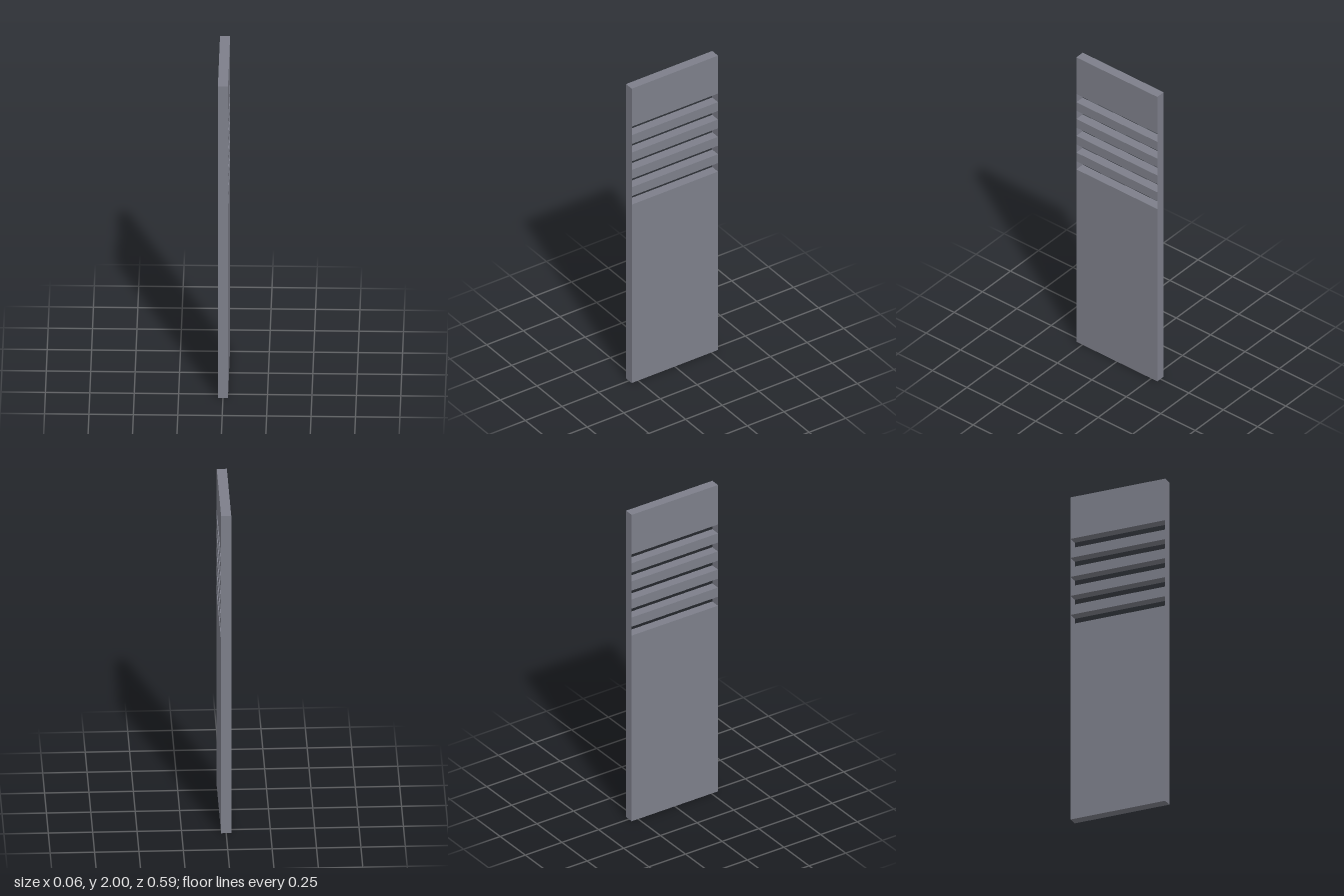
import * as THREE from 'three';

const THICK = 0.057, DEPTH = 0.588, HEIGHT = 2;
const SLOTS = 5, FIRST_SLOT = 1.212, PITCH = 0.118, SLOT = 0.058;
const COLOR = 0x7d7f8a;

export function createModel() {
  const group = new THREE.Group();
  const solid = new THREE.MeshStandardMaterial({ color: COLOR, flatShading: true });
  const skin = new THREE.MeshStandardMaterial({ color: COLOR, side: THREE.DoubleSide });

  // A full-depth slice of the panel between two heights
  function addSlice(name, y0, y1) {
    const mesh = new THREE.Mesh(new THREE.BoxGeometry(THICK, y1 - y0, DEPTH), solid);
    mesh.name = name;
    mesh.position.y = (y0 + y1) / 2;
    group.add(mesh);
  }

  // Lower panel, vent slats and top panel, separated by the slots
  let bottom = 0;
  for (let i = 0; i < SLOTS; i++) {
    const slotBottom = FIRST_SLOT + i * PITCH;
    addSlice(i === 0 ? 'lowerPanel' : 'ventSlat' + i, bottom, slotBottom);
    bottom = slotBottom + SLOT;

    // Paper-thin edge skins close each slot at the front and back ends
    for (const side of [1, -1]) {
      const edge = new THREE.Mesh(new THREE.PlaneGeometry(THICK, SLOT), skin);
      edge.name = (side > 0 ? 'frontSlotEnd' : 'backSlotEnd') + (i + 1);
      edge.position.set(0, slotBottom + SLOT / 2, side * DEPTH / 2);
      if (side < 0) edge.rotation.y = Math.PI;
      group.add(edge);
    }
  }
  addSlice('topPanel', bottom, HEIGHT);

  return group;
}
